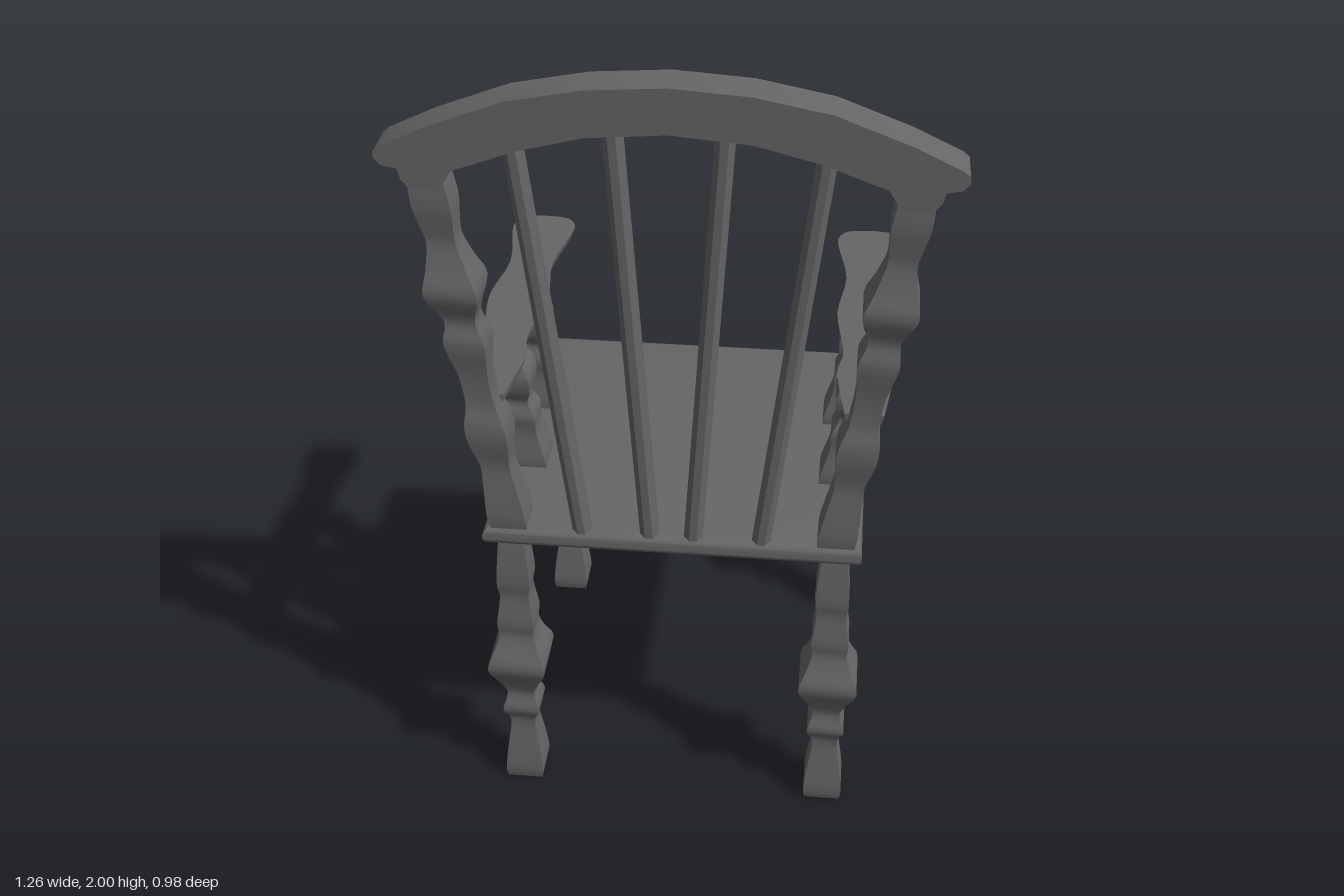
import * as THREE from 'three';
import { toCreasedNormals } from 'three/addons/utils/BufferGeometryUtils.js';

const material = new THREE.MeshStandardMaterial({ color: 0x666666 });
const LEAN = 0.142; // outward lean of the back posts and arm supports (x per y)
const SEAT_TOP = 0.835;
const BACK_Z = 0.417;

const vectors = (pairs) => pairs.map(([x, y]) => new THREE.Vector2(x, y));

function mesh(name, geometry, x = 0, y = 0, z = 0) {
  const m = new THREE.Mesh(toCreasedNormals(geometry, 0.6), material);
  m.name = name;
  m.position.set(x, y, z);
  return m;
}

// Square-section profiled post from [halfWidth, y] points, sheared sideways by lean
function squarePost(profile, lean = 0) {
  const curve = new THREE.SplineCurve(vectors(profile));
  const pts = curve.getPoints((profile.length - 1) * 3)
    .map((p) => new THREE.Vector2(p.x * Math.SQRT2, p.y));
  pts.unshift(new THREE.Vector2(0, pts[0].y));
  pts.push(new THREE.Vector2(0, pts[pts.length - 1].y));
  const geo = new THREE.LatheGeometry(pts, 4, Math.PI / 4);
  const pos = geo.attributes.position;
  for (let i = 0; i < pos.count; i++) pos.setX(i, pos.getX(i) + pos.getY(i) * lean);
  return geo;
}

const LEG = [
  [0.045, 0], [0.049, 0.03], [0.042, 0.1], [0.031, 0.19], [0.047, 0.235], [0.034, 0.285], [0.05, 0.335],
  [0.073, 0.395], [0.054, 0.45], [0.043, 0.49], [0.046, 0.53], [0.036, 0.61], [0.041, 0.66], [0.031, 0.79],
];
const BACK_POST = [
  [0.044, 0], [0.046, 0.04], [0.038, 0.13], [0.035, 0.18], [0.047, 0.25], [0.046, 0.3], [0.034, 0.35],
  [0.034, 0.43], [0.047, 0.52], [0.035, 0.575], [0.061, 0.65], [0.046, 0.71], [0.033, 0.77],
  [0.036, 0.81], [0.043, 0.87], [0.038, 0.95],
];
const ARM_SUPPORT = [
  [0.05, 0], [0.051, 0.03], [0.041, 0.1], [0.046, 0.15], [0.034, 0.19], [0.047, 0.22], [0.054, 0.26],
  [0.048, 0.29], [0.03, 0.325],
];

// Arm outline as [x, z], from the post forward along the outside and back along the inside
const ARM = [
  [0.49, 0.4], [0.508, 0.24], [0.499, 0.13], [0.52, -0.05], [0.499, -0.23], [0.524, -0.4], [0.524, -0.45],
  [0.506, -0.482], [0.445, -0.492], [0.385, -0.482], [0.362, -0.45], [0.36, -0.4], [0.386, -0.23],
  [0.368, -0.05], [0.388, 0.13], [0.376, 0.23], [0.398, 0.4],
];

function armGeometry(side) {
  const pts = new THREE.SplineCurve(vectors(ARM.map(([x, z]) => [x * side, z]))).getPoints(64);
  const geo = new THREE.ExtrudeGeometry(new THREE.Shape(pts), { depth: 0.025, bevelEnabled: false });
  geo.rotateX(Math.PI / 2);
  // Underside is slightly narrower than the top
  const pos = geo.attributes.position, mid = 0.44 * side;
  for (let i = 0; i < pos.count; i++) {
    if (pos.getY(i) < -0.01) pos.setX(i, mid + (pos.getX(i) - mid) * 0.88);
  }
  return geo;
}

function seatGeometry() {
  const w = 0.433, d = 0.425;
  const shape = new THREE.Shape(vectors([[-w, -d], [w, -d], [w, d], [-w, d]]));
  const geo = new THREE.ExtrudeGeometry(shape, {
    depth: 0.01, bevelSize: 0.025, bevelThickness: 0.02, bevelSegments: 4,
  });
  return geo.rotateX(Math.PI / 2);
}

// Arched top rail with scrolled ends
function railGeometry() {
  const top = [[0, 2], [0.175, 1.988], [0.345, 1.955], [0.51, 1.892], [0.615, 1.842]];
  const end = [[0.63, 1.83], [0.632, 1.815], [0.618, 1.797], [0.583, 1.79], [0.577, 1.765], [0.56, 1.745],
    [0.495, 1.742], [0.48, 1.765], [0.465, 1.79]];
  const under = [[0.325, 1.842], [0.18, 1.88], [0, 1.895]];
  const half = [...top, ...end, ...under];
  const mirrored = half.slice(1, -1).reverse().map(([x, y]) => [-x, y]);
  const shape = new THREE.Shape(vectors([...half, ...mirrored]));
  return new THREE.ExtrudeGeometry(shape, { depth: 0.098, bevelEnabled: false });
}

// Slender eight-sided rod between two points, a flat side facing forward
function rod(name, a, b, radius) {
  const dir = b.clone().sub(a);
  const geo = new THREE.CylinderGeometry(radius, radius, dir.length(), 8).rotateY(Math.PI / 8);
  const m = mesh(name, geo);
  m.position.copy(a).add(b).multiplyScalar(0.5);
  m.quaternion.setFromUnitVectors(new THREE.Vector3(0, 1, 0), dir.normalize());
  return m;
}

export function createModel() {
  const chair = new THREE.Group();
  chair.name = 'armchair';

  chair.add(mesh('seat', seatGeometry(), 0, 0.815, 0.023));
  chair.add(mesh('topRail', railGeometry(), 0, 0, 0.367));

  for (const side of [1, -1]) {
    const x = 0.394 * side;
    // Legs
    chair.add(mesh('backLeg', squarePost(LEG), x, 0, BACK_Z));
    chair.add(mesh('frontLeg', squarePost(LEG), x, 0, -0.367));
    // Back post
    chair.add(mesh('backPost', squarePost(BACK_POST, LEAN * side), x, SEAT_TOP - 0.005, BACK_Z));
    // Arm and its two supports
    chair.add(mesh('arm', armGeometry(side), 0, 1.18, 0));
    for (const z of [0.158, -0.107]) {
      chair.add(mesh('armSupport', squarePost(ARM_SUPPORT, LEAN * side), x, SEAT_TOP - 0.005, z));
    }
    // Fanned back spindles
    for (const [low, high, topY] of [[0.052, 0.12, 1.9], [0.215, 0.335, 1.86]]) {
      chair.add(rod('backSpindle',
        new THREE.Vector3(low * side, 0.82, 0.442),
        new THREE.Vector3(high * side, topY, 0.442), 0.024));
    }
  }
  return chair;
}
